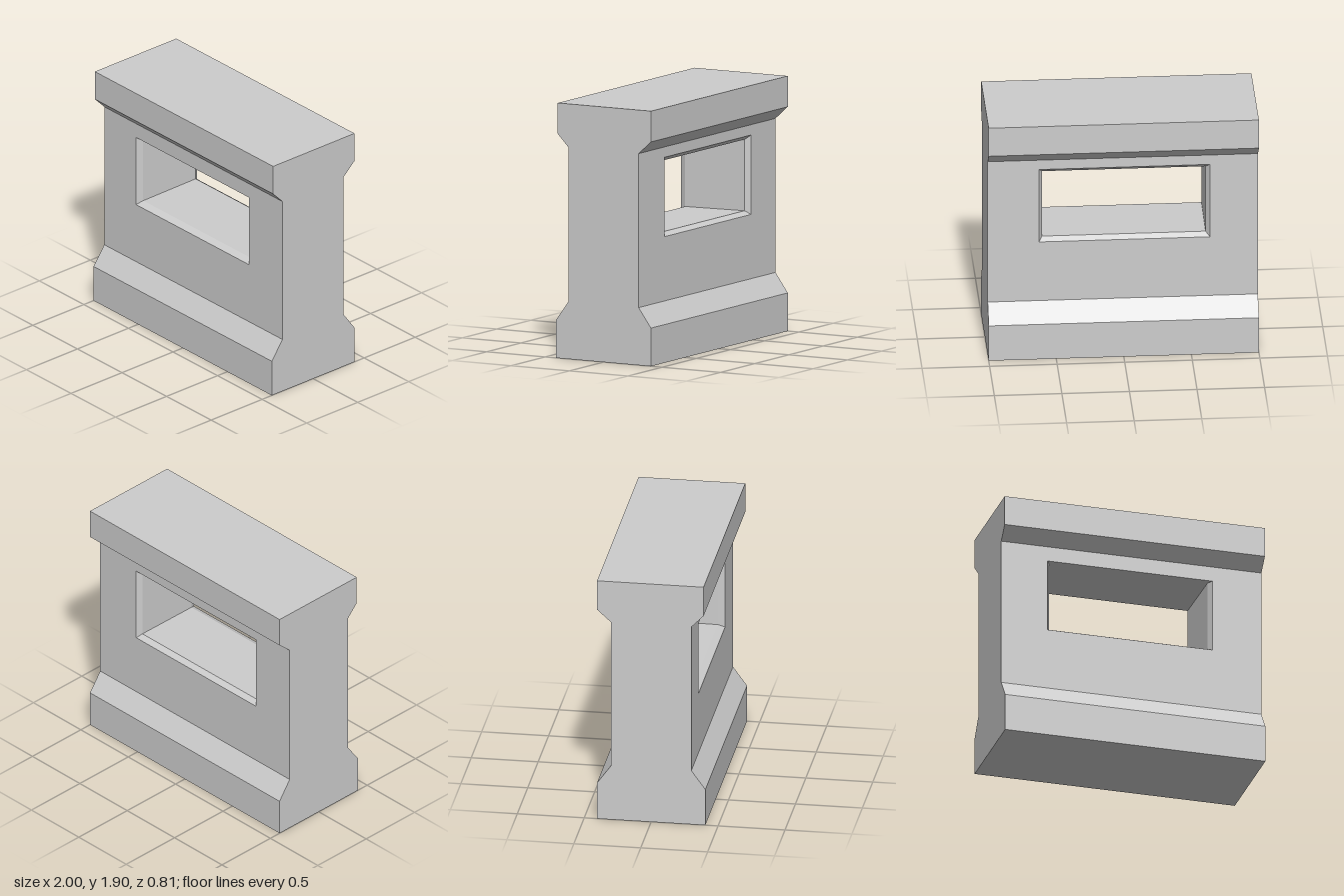
import * as THREE from 'three';

const concrete = new THREE.MeshStandardMaterial({ color: 0xcccccc });
concrete.name = 'grey concrete';

// Flat-shaded geometry from a list of four-cornered faces
function quads(list) {
  const pos = [];
  for (const [a, b, c, d] of list) pos.push(...a, ...b, ...c, ...a, ...c, ...d);
  const g = new THREE.BufferGeometry();
  g.setAttribute('position', new THREE.Float32BufferAttribute(pos, 3));
  g.computeVertexNormals();
  return g;
}

const rect = (x0, x1, y0, y1) => [[x0, y0], [x1, y0], [x1, y1], [x0, y1]];
const toShape = (pts) => new THREE.Shape(pts.map(([x, y]) => new THREE.Vector2(x, y)));

// Side profile as [z, y], running from the front foot round the back
const profile = [
  [0.405, 0], [-0.405, 0], [-0.405, 0.285], [-0.3, 0.43], [-0.3, 1.58], [-0.405, 1.675],
  [-0.405, 1.905], [0.392, 1.905], [0.392, 1.675], [0.3, 1.58], [0.3, 0.43], [0.405, 0.285],
];
const WALL_FACES = [3, 9]; // profile segments pierced by the window

// Window outlines from front to back: bevel, passage, bevel
const opening = [
  { z: 0.3, pts: rect(-0.645, 0.625, 0.905, 1.465) },
  { z: 0.25, pts: rect(-0.62, 0.6, 0.93, 1.468) },
  { z: -0.26, pts: rect(-0.615, 0.595, 0.938, 1.47) },
  { z: -0.3, pts: rect(-0.645, 0.62, 0.91, 1.503) },
];

export function createModel() {
  const group = new THREE.Group();
  group.name = 'windowWall';
  const add = (name, geometry) => {
    const mesh = new THREE.Mesh(geometry, concrete);
    mesh.name = name;
    group.add(mesh);
  };

  // Plinth, cornice and their slopes, swept along x
  const strips = [];
  profile.forEach(([z, y], i) => {
    if (WALL_FACES.includes(i)) return;
    const [z2, y2] = profile[(i + 1) % profile.length];
    strips.push([[1, y, z], [-1, y, z], [-1, y2, z2], [1, y2, z2]]);
  });
  add('plinthAndCornice', quads(strips));

  // Flat ends
  for (const s of [1, -1]) {
    const end = new THREE.ShapeGeometry(toShape(profile.map(([z, y]) => [-s * z, y])));
    add(s > 0 ? 'leftEnd' : 'rightEnd', end.rotateY(s * Math.PI / 2).translate(s, 0, 0));
  }

  // Front and back wall faces with the window cut out
  for (const s of [1, -1]) {
    const shape = toShape(rect(-1, 1, 0.43, 1.58));
    const { z, pts } = opening[s > 0 ? 0 : 3];
    shape.holes.push(toShape(pts.map(([x, y]) => [s * x, y])));
    const face = new THREE.ShapeGeometry(shape);
    if (s < 0) face.rotateY(Math.PI);
    add(s > 0 ? 'frontWall' : 'backWall', face.translate(0, 0, z));
  }

  // Bevelled window reveal through the wall
  const reveal = [];
  for (let k = 0; k < opening.length - 1; k++) {
    const a = opening[k], b = opening[k + 1];
    for (let i = 0; i < 4; i++) {
      const j = (i + 1) % 4;
      reveal.push([[...a.pts[i], a.z], [...a.pts[j], a.z], [...b.pts[j], b.z], [...b.pts[i], b.z]]);
    }
  }
  add('windowReveal', quads(reveal));
  return group;
}
